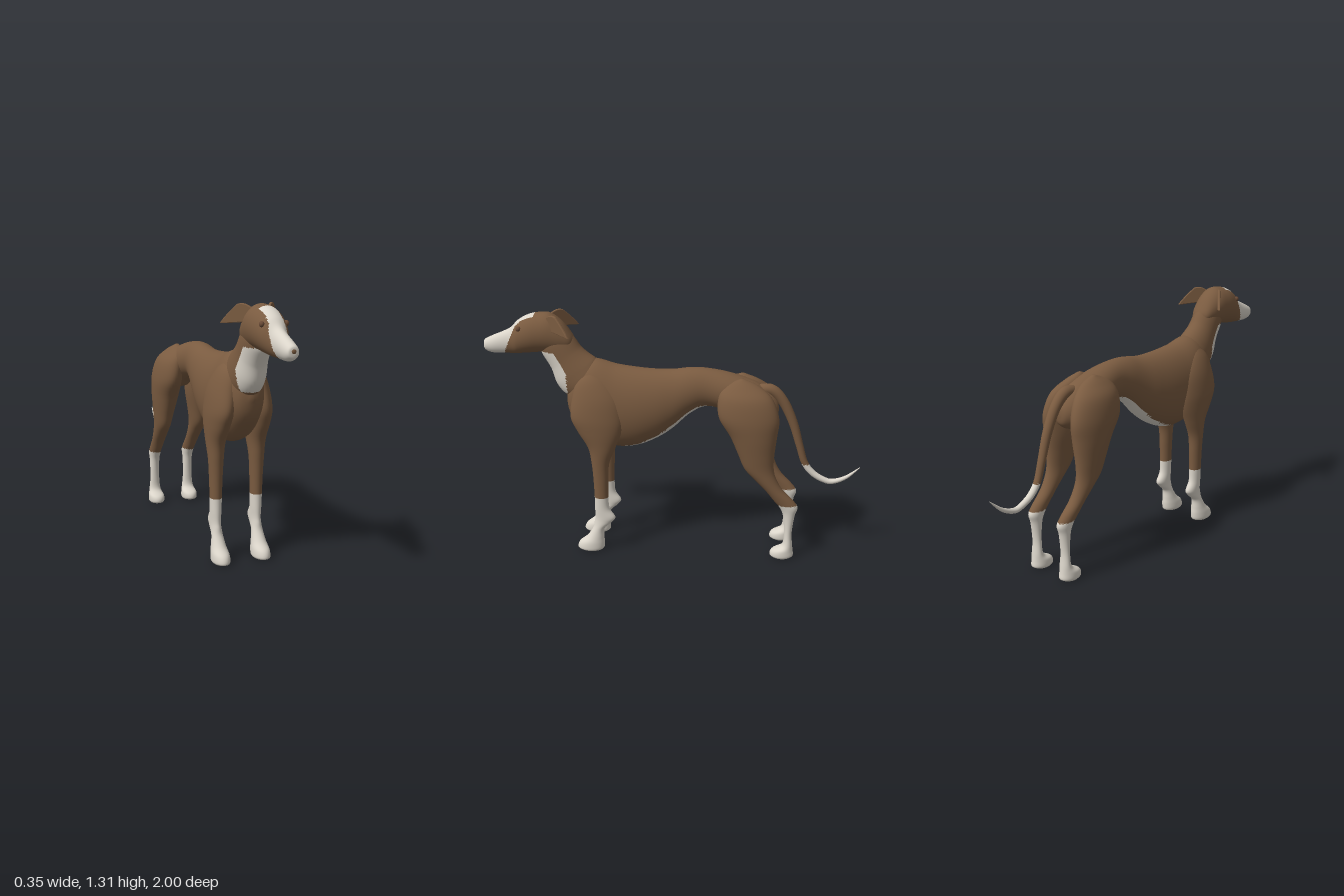
import * as THREE from 'three';

const coat = new THREE.MeshStandardMaterial({ color: 0x7a5b40 });
coat.name = 'brown coat';
const white = new THREE.MeshStandardMaterial({ color: 0xdbd5ca });
white.name = 'white markings';
const dark = new THREE.MeshStandardMaterial({ color: 0x694a36 });
dark.name = 'eye brown';

const SEG = 48, ROWS = 84;

// Smooth interpolation through rows of numbers
function sample(rows, t) {
  const f = t * (rows.length - 1), i = Math.min(Math.floor(f), rows.length - 2), k = f - i;
  const at = n => rows[Math.max(0, Math.min(rows.length - 1, n))];
  return rows[0].map((_, c) => {
    const [a, b, d, e] = [at(i - 1)[c], at(i)[c], at(i + 1)[c], at(i + 2)[c]];
    return b + 0.5 * k * (d - a + k * (2 * a - 5 * b + 4 * d - e + k * (3 * (b - d) + e - a)));
  });
}

// Closed loft through elliptical rings [x, y, z, radius across, radius along];
// axis fixes the ring normal, otherwise rings follow the path. isWhite picks the marking faces.
function loft(name, rows, axis, isWhite = () => false) {
  const pos = [], lists = [[], []], across = new THREE.Vector3(1, 0, 0);
  for (let i = 0; i <= ROWS; i++) {
    const [x, y, z, rx, rv] = sample(rows, i / ROWS);
    const p = sample(rows, Math.max(0, i - 1) / ROWS), n = sample(rows, Math.min(ROWS, i + 1) / ROWS);
    const t = axis || new THREE.Vector3(0, n[1] - p[1], n[2] - p[2]).normalize();
    const v = t.clone().cross(across);
    for (let j = 0; j < SEG; j++) {
      const a = j / SEG * Math.PI * 2;
      const c = Math.cos(a) * Math.max(rx, 0.001), s = Math.sin(a) * Math.max(rv, 0.001);
      pos.push(x + c, y + v.y * s, z + v.z * s);
    }
  }
  const put = (...tri) => {
    const m = [0, 1, 2].map(c => (pos[tri[0] * 3 + c] + pos[tri[1] * 3 + c] + pos[tri[2] * 3 + c]) / 3);
    lists[isWhite(...m) ? 1 : 0].push(...tri);
  };
  for (let i = 0; i < ROWS; i++) {
    for (let j = 0; j < SEG; j++) {
      const a = i * SEG + j, b = i * SEG + (j + 1) % SEG;
      put(a, b, a + SEG);
      put(b, b + SEG, a + SEG);
    }
  }
  // End caps
  const last = ROWS * SEG, count = pos.length / 3;
  pos.push(...rows[0].slice(0, 3), ...rows[rows.length - 1].slice(0, 3));
  for (let j = 0; j < SEG; j++) {
    const k = (j + 1) % SEG;
    put(count, k, j);
    put(count + 1, last + j, last + k);
  }
  const g = new THREE.BufferGeometry();
  g.setAttribute('position', new THREE.Float32BufferAttribute(pos, 3));
  g.setIndex([...lists[0], ...lists[1]]);
  g.addGroup(0, lists[0].length, 0);
  g.addGroup(lists[0].length, lists[1].length, 1);
  g.computeVertexNormals();
  const mesh = new THREE.Mesh(g, [coat, white]);
  mesh.name = name;
  return mesh;
}

const BACKWARD = new THREE.Vector3(0, 0, -1), DOWN = new THREE.Vector3(0, -1, 0);
// [z, top, bottom, half width] and [y, front, back, x, half width] to loft rings
const alongZ = rows => rows.map(([z, t, b, w]) => [0, (t + b) / 2, z, w, (t - b) / 2]);
const alongY = (rows, side) => rows.map(([y, f, b, x, w]) => [x * side, y, (f + b) / 2, w, (f - b) / 2]);

const BODY = [
  [0.568, 0.86, 0.84, 0.01], [0.55, 0.94, 0.76, 0.06], [0.5, 1.03, 0.69, 0.1],
  [0.42, 1.07, 0.62, 0.125], [0.3, 1.042, 0.585, 0.13], [0.19, 1.027, 0.595, 0.127],
  [0.085, 1.02, 0.64, 0.115], [0, 1.022, 0.7, 0.1], [-0.09, 1.034, 0.785, 0.087],
  [-0.18, 1.032, 0.828, 0.08], [-0.3, 1.01, 0.8, 0.095], [-0.42, 0.97, 0.74, 0.1],
  [-0.5, 0.92, 0.74, 0.08], [-0.545, 0.87, 0.77, 0.045], [-0.555, 0.83, 0.81, 0.01],
];
const HEAD = [
  [0.998, 1.15, 1.12, 0.012], [0.99, 1.163, 1.102, 0.028], [0.95, 1.182, 1.088, 0.036],
  [0.86, 1.222, 1.088, 0.043], [0.81, 1.268, 1.09, 0.066], [0.755, 1.298, 1.095, 0.079],
  [0.7, 1.31, 1.1, 0.083], [0.64, 1.308, 1.1, 0.081], [0.58, 1.265, 1.1, 0.07],
  [0.535, 1.205, 1.12, 0.05], [0.515, 1.17, 1.15, 0.01],
];
const NECK = [
  [0, 1.22, 0.69, 0.05, 0.06], [0, 1.155, 0.62, 0.07, 0.093], [0, 1.07, 0.563, 0.076, 0.1],
  [0, 0.995, 0.512, 0.086, 0.126], [0, 0.945, 0.465, 0.09, 0.12], [0, 0.9, 0.41, 0.08, 0.09],
];
const TAIL = [
  [0, 0.92, -0.43, 0.028, 0.028], [0, 0.925, -0.51, 0.03, 0.03], [0, 0.865, -0.575, 0.027, 0.027],
  [0, 0.75, -0.632, 0.024, 0.024], [0, 0.62, -0.673, 0.021, 0.02], [0, 0.52, -0.705, 0.019, 0.018],
  [0, 0.46, -0.75, 0.018, 0.017], [0, 0.423, -0.81, 0.016, 0.016], [0, 0.413, -0.86, 0.014, 0.014],
  [0, 0.44, -0.93, 0.01, 0.01], [0, 0.5, -1, 0.002, 0.002],
];
const FRONT_LEG = [
  [1.03, 0.43, 0.41, 0.055, 0.01], [0.97, 0.5, 0.33, 0.063, 0.05], [0.88, 0.525, 0.27, 0.085, 0.062],
  [0.78, 0.535, 0.255, 0.1, 0.062], [0.7, 0.5, 0.265, 0.106, 0.056], [0.61, 0.447, 0.3, 0.109, 0.046],
  [0.52, 0.43, 0.335, 0.11, 0.038], [0.42, 0.423, 0.342, 0.11, 0.033], [0.32, 0.42, 0.345, 0.11, 0.03],
  [0.25, 0.42, 0.34, 0.11, 0.028], [0.2, 0.42, 0.31, 0.11, 0.028], [0.17, 0.425, 0.328, 0.11, 0.027],
  [0.13, 0.435, 0.37, 0.11, 0.029], [0.08, 0.468, 0.374, 0.11, 0.037], [0.045, 0.51, 0.372, 0.11, 0.044],
  [0.012, 0.522, 0.375, 0.11, 0.045], [0, 0.505, 0.388, 0.11, 0.038],
];
const HIND_LEG = [
  [0.995, -0.35, -0.37, 0.05, 0.01], [0.96, -0.27, -0.45, 0.06, 0.045], [0.9, -0.24, -0.52, 0.085, 0.068],
  [0.8, -0.245, -0.557, 0.1, 0.074], [0.7, -0.305, -0.55, 0.102, 0.07], [0.6, -0.35, -0.54, 0.106, 0.056],
  [0.52, -0.385, -0.54, 0.108, 0.045], [0.46, -0.44, -0.557, 0.108, 0.04], [0.4, -0.497, -0.592, 0.107, 0.036],
  [0.34, -0.545, -0.65, 0.106, 0.033], [0.3, -0.578, -0.676, 0.105, 0.032], [0.25, -0.6, -0.663, 0.105, 0.028],
  [0.15, -0.61, -0.652, 0.105, 0.027], [0.075, -0.602, -0.658, 0.105, 0.034], [0.042, -0.548, -0.662, 0.105, 0.044],
  [0.012, -0.538, -0.665, 0.105, 0.045], [0, -0.555, -0.65, 0.105, 0.038],
];

function ball(name, material, p, s) {
  const m = new THREE.Mesh(new THREE.SphereGeometry(1, 20, 14), material);
  m.name = name;
  m.position.set(...p);
  m.scale.set(...s);
  return m;
}

// Thin folded-back flap, pointing outward and to the rear
function ear(side) {
  const shape = new THREE.Shape();
  shape.moveTo(-0.01, 1.23);
  shape.lineTo(-0.01, 1.29);
  shape.quadraticCurveTo(0.03, 1.315, 0.06, 1.302);
  shape.quadraticCurveTo(0.1, 1.27, 0.148, 1.215);
  shape.quadraticCurveTo(0.07, 1.225, -0.01, 1.23);
  const geo = new THREE.ExtrudeGeometry(shape, {
    depth: 0.006, bevelThickness: 0.004, bevelSize: 0.004, bevelSegments: 2, curveSegments: 8,
  });
  geo.translate(0, 0, -0.003);
  const m = new THREE.Mesh(geo, coat);
  m.name = side > 0 ? 'leftEar' : 'rightEar';
  m.rotation.y = side > 0 ? 0.9 : Math.PI - 0.9;
  m.position.set(side * 0.05, 0, 0.64);
  return m;
}

export function createModel() {
  const dog = new THREE.Group();
  dog.name = 'dog';

  // Torso with a pale oval under the belly
  const belly = (x, y, z) => y < 0.86 &&
    (x / 0.06) ** 2 + ((z - 0.04) / 0.28) ** 2 < 1;
  dog.add(loft('body', alongZ(BODY), BACKWARD, belly));

  // Neck with a pale throat patch
  const throat = (x, y, z) => y > 0.885 && y < 1.11 && z > 0.555 + Math.max(0, y - 1) * 0.6;
  dog.add(loft('neck', NECK, null, throat));

  // Head with a white muzzle and blaze
  const blaze = (x, y, z) => z > 0.89 - (y - 1.09) * 0.46 ||
    (Math.abs(x) < 0.038 && y > 1.2 && z > 0.72);
  dog.add(loft('head', alongZ(HEAD), BACKWARD, blaze));
  dog.add(ball('nose', coat, [0, 1.137, 0.985], [0.02, 0.018, 0.016]));

  // Tail with a white tip
  dog.add(loft('tail', TAIL, null, (x, y) => y < 0.51));

  // Paired parts
  for (const side of [1, -1]) {
    const label = side > 0 ? 'left' : 'right';
    dog.add(loft(label + 'FrontLeg', alongY(FRONT_LEG, side), DOWN, (x, y) => y < 0.318));
    dog.add(loft(label + 'HindLeg', alongY(HIND_LEG, side), DOWN, (x, y) => y < 0.315));
    dog.add(ear(side));
    dog.add(ball(label + 'Eye', dark, [side * 0.06, 1.234, 0.797], [0.012, 0.014, 0.014]));
  }
  return dog;
}
